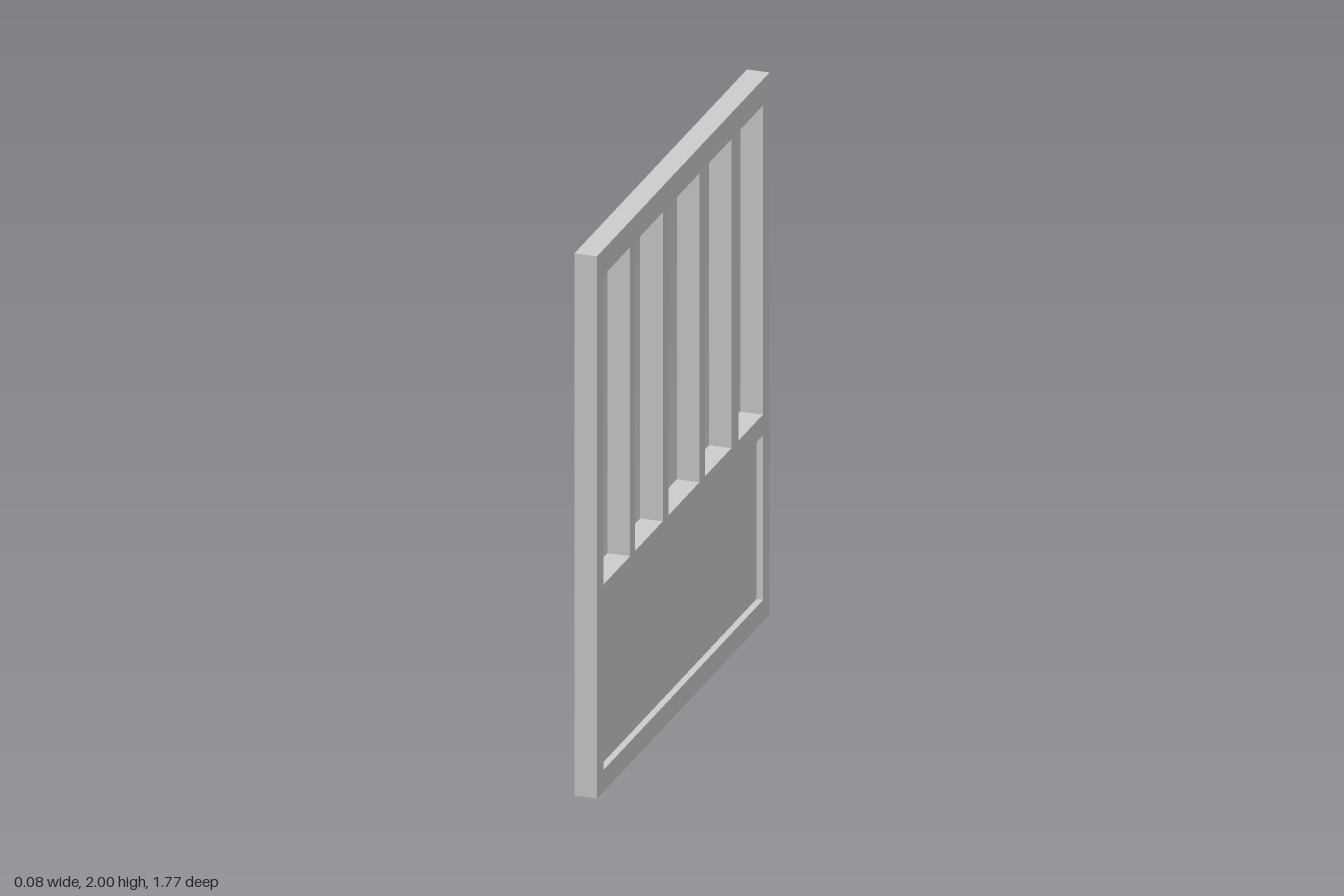
import * as THREE from 'three';

const T = 0.082;       // door thickness
const HALF = 0.884;    // half width along z
const RECESS = 0.024;  // panel set-back on the +x face
const PANEL = { z0: -0.817, z1: 0.817, y0: 0.08, y1: 0.688 };
// Openings between the uprights, as [low z, high z]
const OPENINGS = [[0.545, 0.818], [0.21, 0.497], [-0.165, 0.153], [-0.493, -0.223], [-0.817, -0.568]];

// Rectangle in the side plane; the shape's x axis is -z
function rect(path, z0, z1, y0, y1) {
  path.moveTo(-z1, y0);
  path.lineTo(-z0, y0);
  path.lineTo(-z0, y1);
  path.lineTo(-z1, y1);
  path.closePath();
  return path;
}

export function createModel() {
  const group = new THREE.Group();
  group.name = 'barredDoor';
  const material = new THREE.MeshStandardMaterial({ color: 0xcccccc });

  // Frame with rails and uprights, cut from one slab
  const outline = rect(new THREE.Shape(), -HALF, HALF, 0, 2);
  for (const [z0, z1] of OPENINGS) outline.holes.push(rect(new THREE.Path(), z0, z1, 0.764, 1.904));
  outline.holes.push(rect(new THREE.Path(), PANEL.z0, PANEL.z1, PANEL.y0, PANEL.y1));
  const frameGeometry = new THREE.ExtrudeGeometry(outline, { depth: T, bevelEnabled: false });
  frameGeometry.translate(0, 0, -T / 2).rotateY(Math.PI / 2);
  const frame = new THREE.Mesh(frameGeometry, material);
  frame.name = 'frame';
  group.add(frame);

  // Lower panel, flush on the -x face and recessed on the +x face
  const panel = new THREE.Mesh(
    new THREE.BoxGeometry(T - RECESS, PANEL.y1 - PANEL.y0, PANEL.z1 - PANEL.z0), material);
  panel.position.set(-RECESS / 2, (PANEL.y0 + PANEL.y1) / 2, 0);
  panel.name = 'lowerPanel';
  group.add(panel);

  return group;
}
